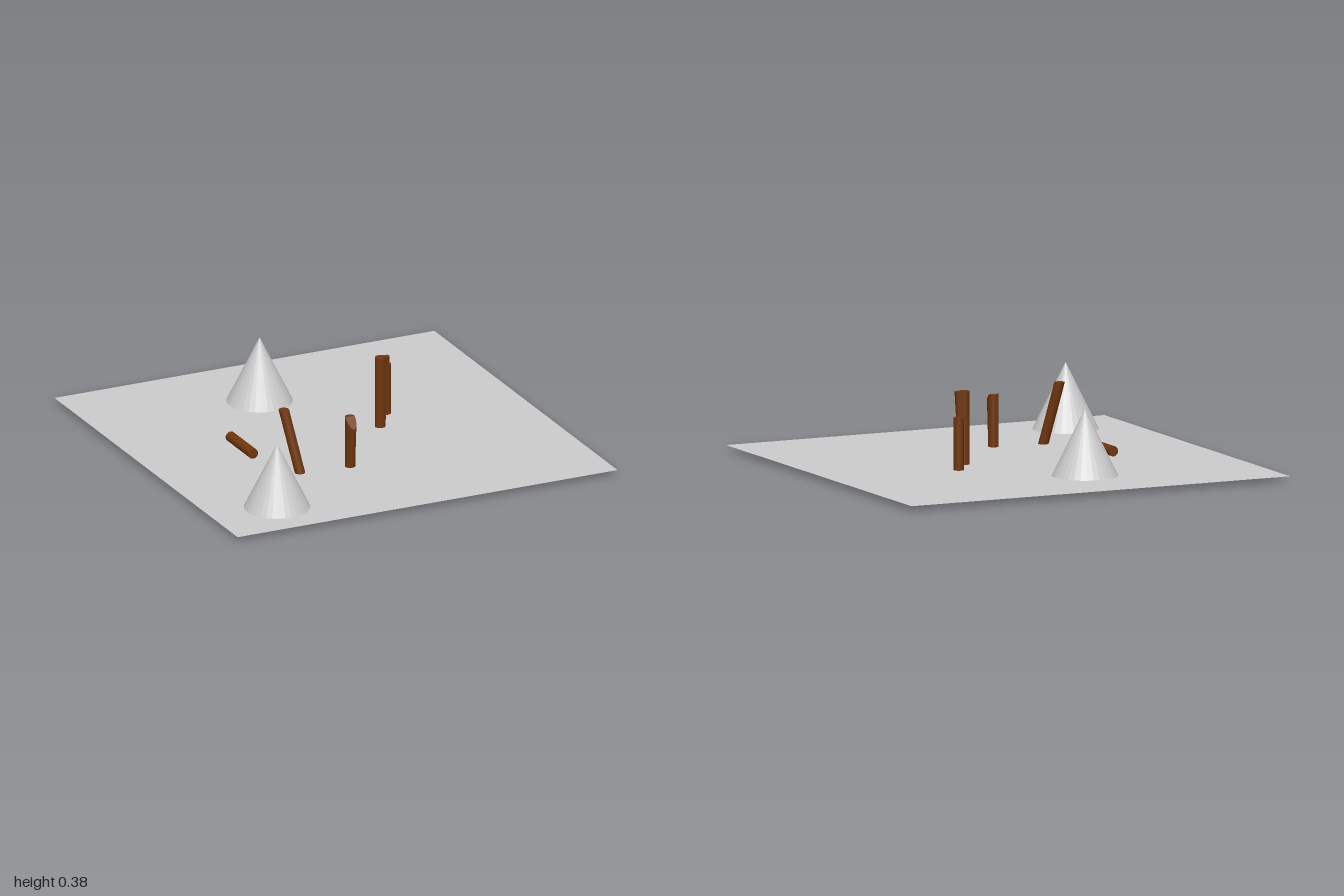
import * as THREE from 'three';

export function createModel() {
  const model = new THREE.Group();
  const stone = new THREE.MeshStandardMaterial({ color: 0xcccccc, flatShading: true, side: THREE.DoubleSide });
  stone.name = 'pale grey';
  const wood = new THREE.MeshStandardMaterial({ color: 0x70360d, flatShading: true });
  wood.name = 'brown wood';

  const GROUND = 0.024, R = 0.025;

  function add(name, geometry, material, x, y, z) {
    const mesh = new THREE.Mesh(geometry, material);
    mesh.name = name;
    mesh.position.set(x, y, z);
    model.add(mesh);
    return mesh;
  }

  // Upright log standing on its origin; reshape(v) moves the vertices of its top end
  function logGeometry(height, reshape) {
    const geometry = new THREE.CylinderGeometry(R, R, height, 24);
    geometry.translate(0, height / 2, 0);
    const pos = geometry.attributes.position;
    const v = new THREE.Vector3();
    for (let i = 0; reshape && i < pos.count; i++) {
      v.fromBufferAttribute(pos, i);
      if (v.y > height / 2) reshape(v);
      pos.setXYZ(i, v.x, v.y, v.z);
    }
    geometry.computeVertexNormals();
    return geometry;
  }

  // Flat ground sheet
  const sheet = new THREE.PlaneGeometry(2, 2);
  sheet.rotateX(-Math.PI / 2);
  add('ground', sheet, stone, 0, GROUND, 0);

  // Cones, sunk slightly through the ground
  for (const [name, x, z] of [['frontCone', -0.66, 0.725], ['backCone', -0.137, -0.55]]) {
    add(name, new THREE.ConeGeometry(0.17, 0.345, 32), stone, x, 0.1725, z);
  }

  // Logs
  const base = GROUND - 0.0005;
  add('straightLog', logGeometry(0.253), wood, 0.33, base, -0.142);
  add('splitLog', logGeometry(0.353, (v) => { if (v.x > 0.02) v.x += 0.023; }), wood, 0.232, base, 0);
  add('choppedLog', logGeometry(0.253, (v) => {
    if (v.z > 0) { v.y -= 2 * v.z; v.z *= 1.9; }
  }), wood, -0.12, base, 0.402);
  add('leaningLog', logGeometry(0.304, (v) => { v.x -= 0.05; v.z -= 0.073; }), wood, -0.37, base, 0.374);
  const fallen = add('fallenLog', logGeometry(0.25), wood, -0.495, GROUND + R + 0.003, -0.126);
  fallen.rotation.x = Math.PI / 2;

  return model;
}
